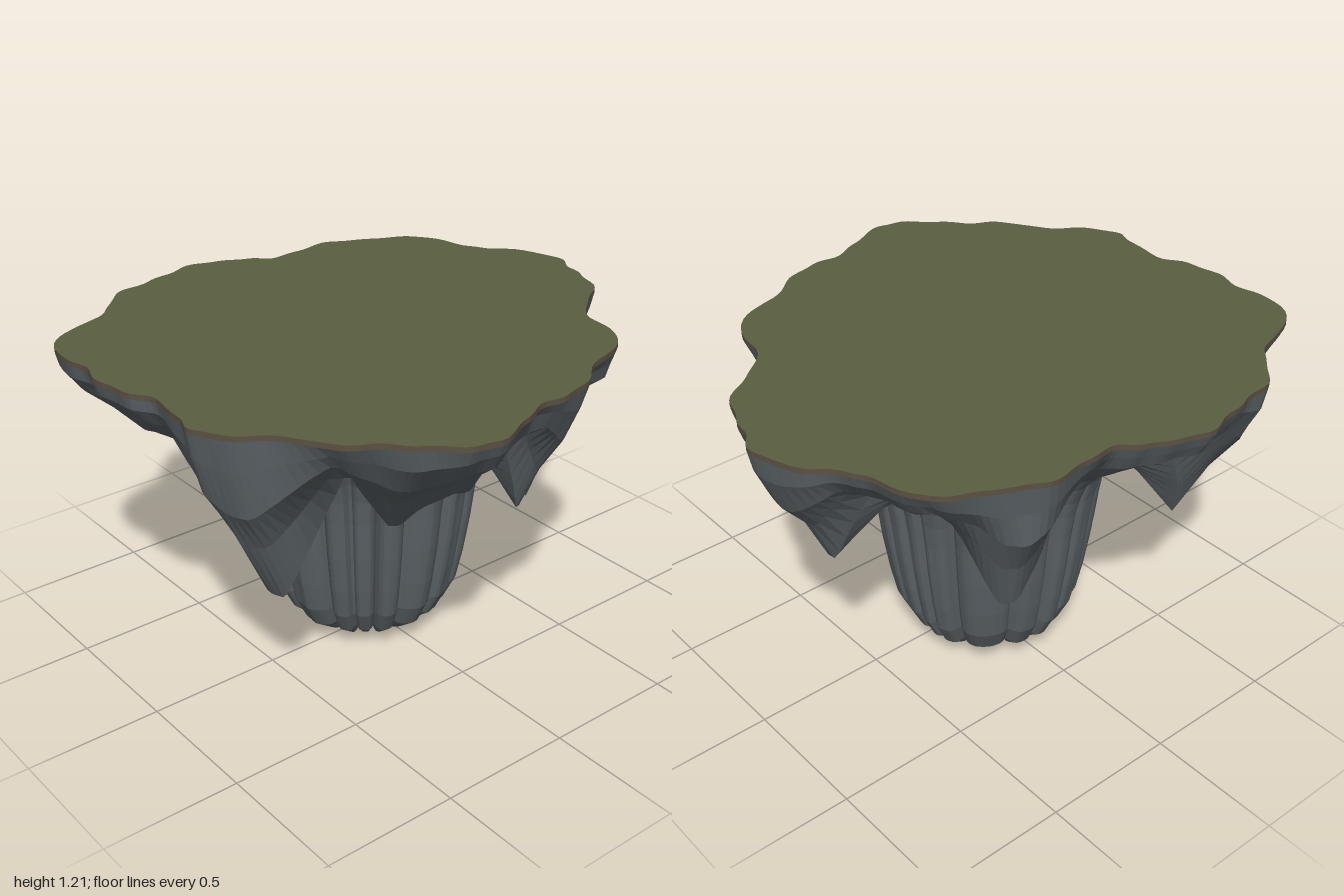
import * as THREE from 'three';

const TOP = 1.21, BAND = 1.19, STEPS = 5;

// Wavy rim of the plateau as [x, z], running from +x towards +z
const OUTLINE = [
  [1, -.1], [.96, 0], [.93, .1], [.87, .22], [.75, .3], [.64, .42], [.62, .55], [.5, .67], [.38, .7],
  [.25, .79], [.12, .83], [0, .83], [-.12, .88], [-.27, .935], [-.37, .91], [-.48, .82], [-.58, .72],
  [-.68, .65], [-.77, .5], [-.88, .41], [-.96, .29], [-.95, .2], [-.93, .03], [-.98, -.08], [-1, -.22],
  [-.98, -.35], [-1, -.47], [-.92, -.62], [-.75, -.68], [-.66, -.74], [-.56, -.85], [-.43, -.88],
  [-.3, -.91], [-.17, -.94], [-.05, -.9], [.04, -.86], [.12, -.805], [.25, -.81], [.4, -.82], [.52, -.76],
  [.65, -.7], [.75, -.62], [.8, -.47], [.84, -.38], [.93, -.28],
];

// Hanging crags: tip x, tip z, tip y, angular half width
const CRAGS = [
  [-.66, .28, .49, .34], [.51, .27, .47, .23], [.74, -.12, .68, .19], [.17, .57, .67, .18],
  [-.45, -.57, .58, .24], [.4, -.63, .62, .29], [-.33, .5, .74, .24],
];

// Column profile: radius, height (top to bottom)
const COLUMN = [
  [.475, .845], [.443, .77], [.425, .7], [.41, .6], [.393, .45], [.37, .3], [.345, .18], [.3, .09],
  [.22, .03], [.11, .002], [0, .035],
];

const lerp = THREE.MathUtils.lerp;

// Seeded, piecewise linear noise around the full circle, -1 to 1
function angularNoise(angle, cells, seed) {
  const u = (angle / (Math.PI * 2) + 1) * cells;
  const hash = (k) => {
    const s = Math.sin((k % cells) * 12.99 + seed * 78.23) * 43758.5453;
    return (s - Math.floor(s)) * 2 - 1;
  };
  const k = Math.floor(u);
  return lerp(hash(k), hash(k + 1), u - k);
}

// Join closed rings of Vector3, ordered from top to bottom, into one surface
function loft(rings) {
  const n = rings[0].length, index = [];
  for (let r = 0; r < rings.length - 1; r++) {
    for (let i = 0; i < n; i++) {
      const j = (i + 1) % n, a = r * n + i, b = r * n + j;
      index.push(a, b, a + n, b, b + n, a + n);
    }
  }
  const geometry = new THREE.BufferGeometry().setFromPoints(rings.flat());
  geometry.setIndex(index);
  geometry.computeVertexNormals();
  return geometry;
}

// Lower edge of the overhang for a given direction: radius and height
function lipAt(angle, rimRadius) {
  const base = {
    radius: rimRadius * (.75 + .05 * angularNoise(angle, 34, 2)),
    y: .95 + .04 * angularNoise(angle, 30, 5),
  };
  let { radius, y } = base;
  for (const [x, z, tipY, half] of CRAGS) {
    let d = angle - Math.atan2(z, x);
    d = Math.abs(Math.atan2(Math.sin(d), Math.cos(d)));
    const w = Math.min(1, Math.max(0, 1.16 * (1 - d / half)));
    const cragY = lerp(base.y, tipY, w);
    if (w > 0 && cragY < y) {
      y = cragY;
      radius = lerp(base.radius, Math.hypot(x, z), w);
    }
  }
  return { radius, y };
}

// Column point with irregular vertical flutes that sharpen to narrow grooves
function columnPoint(angle, radius, y) {
  const phase = angle * 9 + .8 * Math.sin(angle * 3) + .5 * Math.sin(angle * 5 + 1);
  const groove = Math.pow(1 - Math.abs(Math.sin(phase)), 2);
  const r = radius * (1.02 - .12 * groove + .03 * angularNoise(angle, 50, 9));
  const low = Math.max(0, 1 - y / .12);
  const lift = low * .035 * groove * Math.min(1, radius / .1);
  return new THREE.Vector3(r * Math.cos(angle), y + lift, -.063 + r * .96 * Math.sin(angle));
}

// All rings of the rock, from under the soil band to the foot of the column
function rockRings(rim) {
  const skirt = [[0, 0, 0], [.08, .18, .012], [.25, .42, .03], [.58, .66, .03], [1, 1, 0]];
  const columns = rim.map((p) => {
    const angle = Math.atan2(p.y, p.x), R = p.length();
    const lip = lipAt(angle, R);
    const points = skirt.map(([fr, fy, rough], k) => {
      const r = lerp(R, lip.radius, fr) + rough * angularNoise(angle, 36, 11 + k);
      const y = lerp(BAND, lip.y, fy) + rough * .6 * angularNoise(angle, 28, 21 + k);
      return new THREE.Vector3(r * Math.cos(angle), y, r * Math.sin(angle));
    });
    // Underside flaring back into the neck of the column
    const fluted = COLUMN.map(([r, y]) => columnPoint(angle, r, y));
    const under = points[4].clone().lerp(fluted[0], .6);
    under.y += .01 + .015 * angularNoise(angle, 26, 31);
    return [...points, under, ...fluted];
  });
  return columns[0].map((_, k) => columns.map((c) => c[k]));
}

export function createModel() {
  const group = new THREE.Group();
  group.name = 'floatingIsland';

  // Rim points with a fine ripple
  const curve = new THREE.CatmullRomCurve3(
    OUTLINE.map(([x, z]) => new THREE.Vector3(x, 0, z)), true, 'centripetal');
  const count = OUTLINE.length * STEPS;
  const rim = [];
  for (let i = 0; i < count; i++) {
    const p = curve.getPoint(i / count);
    const ripple = 1 + .005 * (Math.sin(i / count * Math.PI * 2 * 36) - .5);
    rim.push(new THREE.Vector2(p.x, p.z).multiplyScalar(ripple));
  }
  const ring = (scale, y) => rim.map((p) => new THREE.Vector3(p.x * scale, y, p.y * scale));

  const add = (name, geometry, color, flatShading) => {
    const material = new THREE.MeshStandardMaterial({ color, flatShading });
    const mesh = new THREE.Mesh(geometry, material);
    mesh.name = name;
    group.add(mesh);
  };

  // Flat grassy plateau
  add('grassTop', loft([ring(0, TOP), ring(.5, TOP), ring(1, TOP)]), 0x5a5e40, false);
  // Thin band of soil around the rim
  add('soilEdge', loft([ring(1, TOP), ring(1, BAND)]), 0x5c5142, true);
  // Craggy overhang and fluted column
  add('rockBody', loft(rockRings(rim)), 0x5b6266, true);

  return group;
}
